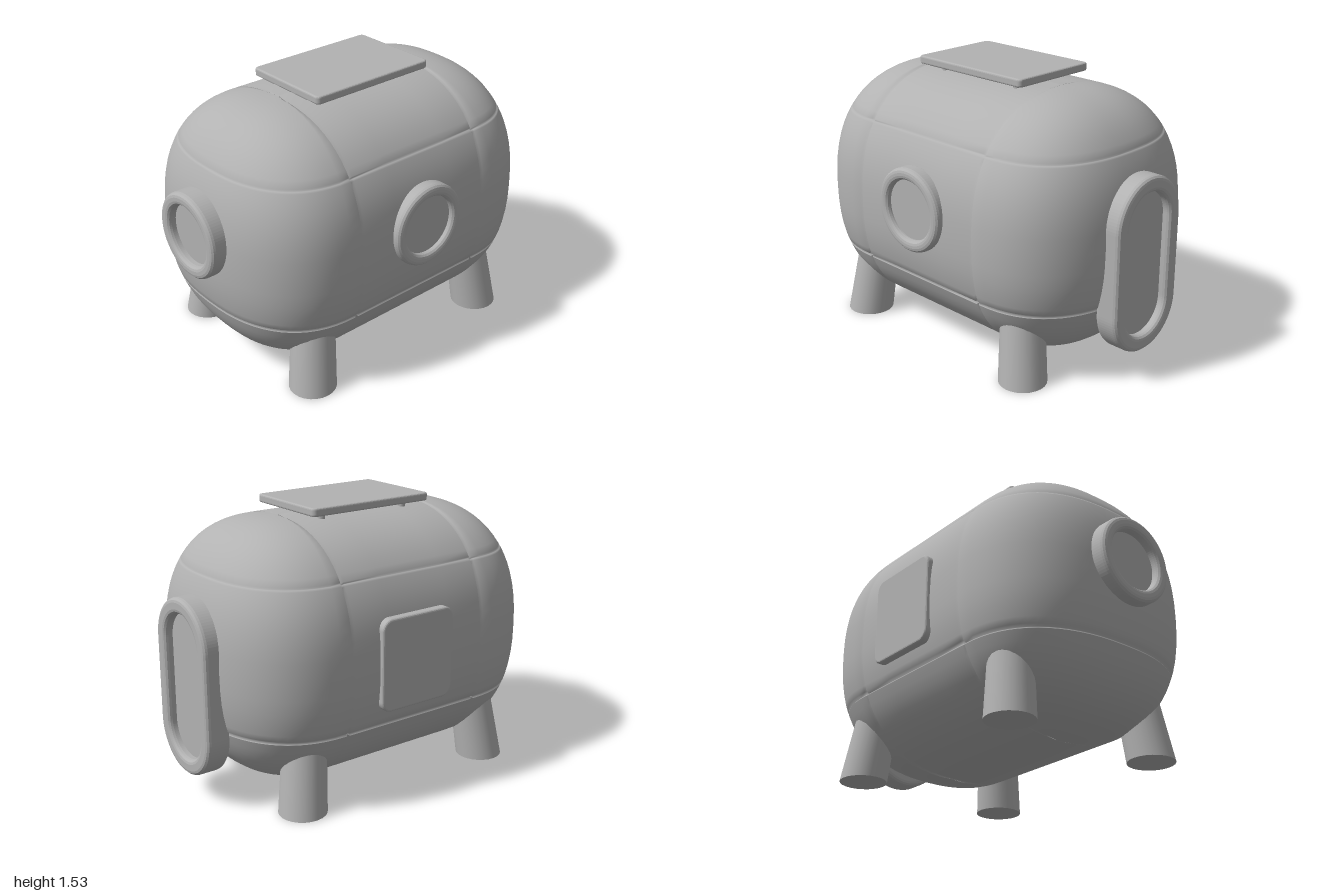
import * as THREE from 'three';

const SEAM_Z = 0.43, HALF_W = 0.67, HALF_H = 0.7, CAP = 0.55, MID_Y = 0.765, N = 2.45;
const pw = (v) => Math.sign(v) * Math.abs(v) ** (2 / N);

// Rounded hull: stacked outlines of a stretched superellipsoid, pinched in at the seams
function hullGeometry() {
  const rows = [];
  for (let i = 0; i <= 36; i++) {
    rows.push({ d: pw(Math.sin(-Math.PI / 2 + (Math.PI * i) / 36)), g: 1 });
  }
  for (const y of [0.43, 1.21]) {
    for (const o of [-0.01, 0, 0.01]) rows.push({ d: (y + o - MID_Y) / HALF_H, g: o ? 1 : 0.98 });
  }
  rows.sort((a, b) => a.d - b.d);

  const cols = [];
  for (const side of [1, -1]) {
    cols.push({ x: side, z: 0, off: side * SEAM_Z, g: 0.98 });
    cols.push({ x: side, z: 0, off: side * (SEAM_Z + 0.01), g: 1 });
    for (let i = 1; i < 32; i++) {
      const a = (Math.PI * i) / 32;
      cols.push({ x: side * pw(Math.cos(a)), z: side * pw(Math.sin(a)), off: side * SEAM_Z, g: 1 });
    }
    cols.push({ x: -side, z: 0, off: side * (SEAM_Z + 0.01), g: 1 });
    cols.push({ x: -side, z: 0, off: side * SEAM_Z, g: 0.98 });
    for (const t of [SEAM_Z - 0.01, 0.2, 0, -0.2, 0.01 - SEAM_Z]) {
      cols.push({ x: -side, z: 0, off: side * t, g: 1 });
    }
  }

  const pos = [], index = [], n = cols.length;
  rows.forEach((r, i) => {
    const k = Math.max(0, 1 - Math.abs(r.d) ** N) ** (1 / N);
    cols.forEach((c, j) => {
      const s = k * r.g * c.g;
      pos.push(HALF_W * s * c.x, MID_Y + HALF_H * r.d * c.g, c.off + CAP * s * c.z);
      if (i + 1 < rows.length) {
        const a = i * n + j, b = i * n + ((j + 1) % n);
        index.push(a, a + n, b, b, a + n, b + n);
      }
    });
  });
  const geo = new THREE.BufferGeometry();
  geo.setAttribute('position', new THREE.Float32BufferAttribute(pos, 3));
  geo.setIndex(index);
  geo.computeVertexNormals();
  return geo;
}

// Rounded rectangle path; with r = w / 2 it becomes a circle or a stadium
function roundedRect(w, h, r, Type = THREE.Shape) {
  const x = w / 2 - r, y = h / 2 - r, p = new Type();
  p.absarc(x, y, r, 0, Math.PI / 2);
  p.absarc(-x, y, r, Math.PI / 2, Math.PI);
  p.absarc(-x, -y, r, Math.PI, Math.PI * 1.5);
  p.absarc(x, -y, r, Math.PI * 1.5, Math.PI * 2);
  return p;
}

// Bevelled plate whose outer face lies at z = 0
function plate(shape, depth, bevel) {
  return new THREE.ExtrudeGeometry(shape, {
    depth: depth - 2 * bevel, bevelThickness: bevel, bevelSize: bevel,
    bevelOffset: -bevel, bevelSegments: 3, curveSegments: 12,
  }).translate(0, 0, bevel - depth);
}

export function createModel() {
  const model = new THREE.Group();
  model.name = 'capsulePod';
  const pod = new THREE.Group();
  pod.name = 'pod';
  pod.rotation.y = THREE.MathUtils.degToRad(-32.5);
  model.add(pod);

  const grey = new THREE.MeshStandardMaterial({ color: 0xb2b2b2 });
  grey.name = 'grey';
  const add = (name, geo, parent = pod) => {
    const mesh = new THREE.Mesh(geo, grey);
    mesh.name = name;
    parent.add(mesh);
    return mesh;
  };

  add('hull', hullGeometry());

  // Framed openings: raised rim with a recessed pane
  function framed(name, w, h, rim, depth, recess, at, turn) {
    const g = new THREE.Group();
    g.name = name;
    const shape = roundedRect(w, h, w / 2 - 0.001);
    const iw = w - 2 * rim, ih = h - 2 * rim;
    shape.holes.push(roundedRect(iw, ih, iw / 2 - 0.001, THREE.Path));
    add(name + 'Rim', plate(shape, depth, 0.025), g);
    const pane = new THREE.ShapeGeometry(roundedRect(iw + 0.06, ih + 0.06, iw / 2 + 0.029), 12);
    add(name + 'Pane', pane, g).position.z = -recess;
    g.position.set(...at);
    g.rotation.y = turn;
    pod.add(g);
  }
  framed('frontWindow', 0.47, 0.47, 0.07, 0.14, 0.05, [0, 0.865, 1.045], 0);
  framed('sideWindow', 0.46, 0.46, 0.065, 0.1, 0.032, [0.71, 0.84, 0], Math.PI / 2);
  framed('door', 0.5, 0.96, 0.085, 0.14, 0.05, [0, 0.63, -1.042], Math.PI);

  // Plain hatch on the other side
  const hatch = add('sideHatch', plate(roundedRect(0.47, 0.5, 0.06), 0.08, 0.012));
  hatch.position.set(-0.69, 0.77, -0.03);
  hatch.rotation.y = -Math.PI / 2;

  // Roof panel on short posts
  const panel = add('roofPanel', plate(roundedRect(0.53, 0.77, 0.025), 0.045, 0.01));
  panel.rotation.x = -Math.PI / 2;
  panel.position.y = 1.53;

  for (const sx of [1, -1]) {
    for (const sz of [1, -1]) {
      const post = add('roofPost', new THREE.CylinderGeometry(0.02, 0.02, 0.12, 12));
      post.position.set(sx * 0.17, 1.435, sz * 0.27);

      // Legs splay outwards towards the ground
      const leg = new THREE.CylinderGeometry(0.115, 0.13, 0.42, 24).translate(0, 0.21, 0);
      leg.applyMatrix4(new THREE.Matrix4().makeShear(0, 0, -sx * 0.12, -sz * 0.12, 0, 0));
      add('leg', leg).position.set(sx * 0.485, 0, sz * 0.625);
    }
  }
  return model;
}
